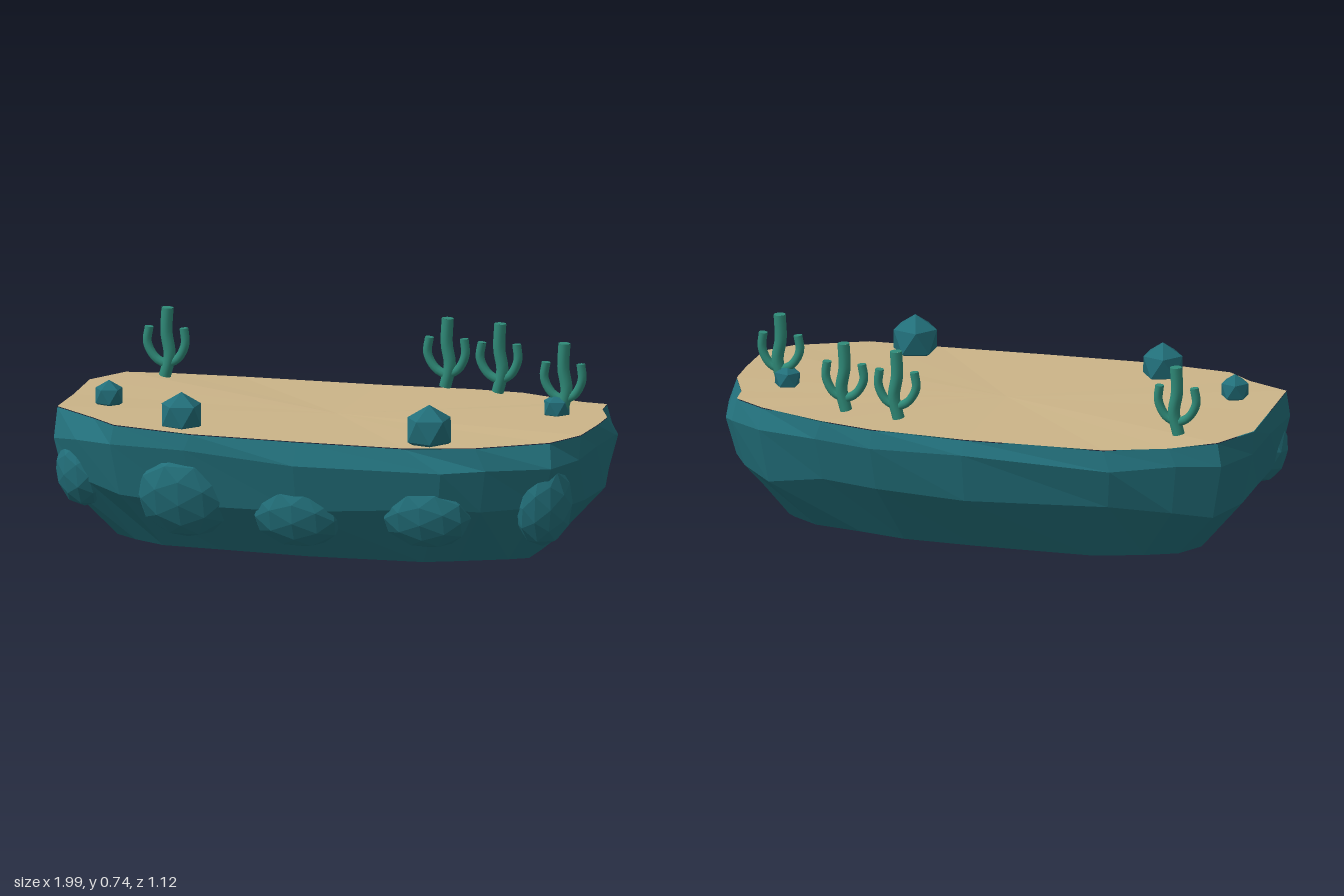
import * as THREE from 'three';

const flat = (color, name) => Object.assign(new THREE.MeshStandardMaterial({ color, flatShading: true }), { name });

// Outlines as x, z pairs, running from +x towards +z
const RIM = [
  [0.985, 0], [0.98, 0.2], [0.9, 0.32], [0.66, 0.46], [0.4, 0.5], [0, 0.515], [-0.4, 0.52], [-0.7, 0.475],
  [-0.8, 0.39], [-0.97, 0.285], [-0.98, 0.05], [-0.995, -0.2], [-0.91, -0.37], [-0.75, -0.45], [-0.52, -0.51],
  [0, -0.53], [0.35, -0.53], [0.55, -0.5], [0.8, -0.41], [0.91, -0.36], [0.92, -0.27], [0.98, -0.13],
];
const WIDE = [
  [0.98, 0], [0.98, 0.22], [0.92, 0.37], [0.7, 0.47], [0.55, 0.53], [0, 0.555], [-0.42, 0.53], [-0.71, 0.49],
  [-0.86, 0.42], [-0.97, 0.33], [-0.98, 0.05], [-0.99, -0.2], [-0.93, -0.39], [-0.78, -0.46], [-0.55, -0.53],
  [0, -0.56], [0.35, -0.55], [0.57, -0.51], [0.8, -0.45], [0.92, -0.39], [0.97, -0.3], [0.995, -0.18],
];

function mulberry(seed) {
  return () => {
    seed = (seed + 0x6d2b79f5) | 0;
    let t = Math.imul(seed ^ (seed >>> 15), 1 | seed);
    t = (t + Math.imul(t ^ (t >>> 7), 61 | t)) ^ t;
    return ((t ^ (t >>> 14)) >>> 0) / 4294967296;
  };
}

function geometryFrom(points, index) {
  const g = new THREE.BufferGeometry();
  g.setAttribute('position', new THREE.Float32BufferAttribute(points.flat(), 3));
  g.setIndex(index);
  g.computeVertexNormals();
  return g;
}

export function createModel() {
  const group = new THREE.Group();
  const rock = flat(0x226f7a, 'rock');
  const sand = flat(0xcbb488, 'sand');
  sand.side = THREE.DoubleSide;
  const cactusGreen = new THREE.MeshStandardMaterial({ color: 0x2f8a78, name: 'cactus green' });

  const add = (geometry, material, name, parent = group) => {
    const mesh = new THREE.Mesh(geometry, material);
    mesh.name = name;
    parent.add(mesh);
    return mesh;
  };

  // Rock base: four stacked rings, narrow at the foot
  const rand = mulberry(7);
  const jitter = (amount) => (rand() - 0.5) * amount;
  const rimY = (x) => 0.452 + 0.024 * x * x;
  const n = RIM.length;
  const rings = [
    WIDE.map(([x, z]) => [x * 0.785, 0.008 + jitter(0.014), z * 0.67]),
    WIDE.map(([x, z]) => [x * (0.96 + jitter(0.02)), 0.215 + jitter(0.05), z * (0.925 + jitter(0.03))]),
    WIDE.map(([x, z]) => [x, 0.39 + jitter(0.03), z]),
    RIM.map(([x, z]) => [x, rimY(x) + jitter(0.012), z]),
  ];
  const points = [[0, 0.005, 0], ...rings.flat()];
  const index = [];
  for (let i = 0; i < n; i++) {
    const j = (i + 1) % n;
    index.push(0, 1 + i, 1 + j);
    for (let r = 0; r < 3; r++) {
      const a = 1 + r * n + i, b = 1 + r * n + j;
      index.push(a, a + n, b + n, a, b + n, b);
    }
  }
  add(geometryFrom(points, index), rock, 'rockBase');

  // Sand sheet over the rim
  const sandIndex = [];
  for (let i = 0; i < n; i++) sandIndex.push(0, 1 + ((i + 1) % n), 1 + i);
  const sandPoints = [[0, 0.458, 0], ...rings[3].map(([x, y, z]) => [x, y + 0.003, z])];
  add(geometryFrom(sandPoints, sandIndex), sand, 'sandTop');

  // Boulders bulging from the front: position, radii, tilt, turn
  const boulders = [
    [-0.44, 0.22, 0.445, 0.18, 0.165, 0.09, 0.25, 0],
    [-0.01, 0.18, 0.45, 0.175, 0.13, 0.09, 0.25, 0],
    [0.47, 0.2, 0.445, 0.17, 0.125, 0.085, 0.25, 0],
    [-0.87, 0.26, 0.31, 0.11, 0.135, 0.085, 0.1, -0.6],
    [0.87, 0.24, 0.3, 0.11, 0.16, 0.085, 0.1, 0.6],
  ];
  for (const [x, y, z, rx, ry, rz, tilt, turn] of boulders) {
    const m = add(new THREE.IcosahedronGeometry(1, 1), rock, 'boulder');
    m.position.set(x, y, z);
    m.scale.set(rx, ry, rz);
    m.rotation.set(tilt, turn, 0, 'YXZ');
  }

  // Loose stones on the sand: position, radius
  for (const [x, y, z, r] of [
    [0.47, 0.51, 0.405, 0.092], [-0.47, 0.505, 0.39, 0.083],
    [-0.81, 0.51, 0.17, 0.057], [0.785, 0.5, -0.145, 0.053],
  ]) {
    const m = add(new THREE.IcosahedronGeometry(r, 0), rock, 'stone');
    m.position.set(x, y, z);
    m.rotation.z = Math.atan(0.618);
  }

  // Cacti: wavy trunk and two upturned arms, each a capped tube
  const limb = (path, radius, name, parent) => {
    const curve = new THREE.CatmullRomCurve3(path.map(([x, y]) => new THREE.Vector3(x, y, 0)));
    add(new THREE.TubeGeometry(curve, 12, radius, 10), cactusGreen, name, parent);
    for (const [t, sign] of [[0, -1], [1, 1]]) {
      const cap = add(new THREE.CircleGeometry(radius, 10), cactusGreen, name + 'Cap', parent);
      cap.position.copy(curve.getPointAt(t));
      cap.quaternion.setFromUnitVectors(new THREE.Vector3(0, 0, 1), curve.getTangentAt(t).multiplyScalar(sign));
    }
  };
  for (const [x, z] of [[-0.745, -0.325], [0.278, -0.44], [0.487, -0.405], [0.808, -0.145]]) {
    const cactus = new THREE.Group();
    cactus.name = 'cactus';
    cactus.position.set(x, 0.485, z);
    limb([[-0.004, 0], [0.014, 0.08], [0.002, 0.16], [0.006, 0.253]], 0.022, 'trunk', cactus);
    limb([[0.008, 0.04], [-0.04, 0.066], [-0.07, 0.12], [-0.063, 0.18]], 0.016, 'leftArm', cactus);
    limb([[0.008, 0.045], [0.045, 0.066], [0.072, 0.12], [0.068, 0.18]], 0.016, 'rightArm', cactus);
    group.add(cactus);
  }
  return group;
}
